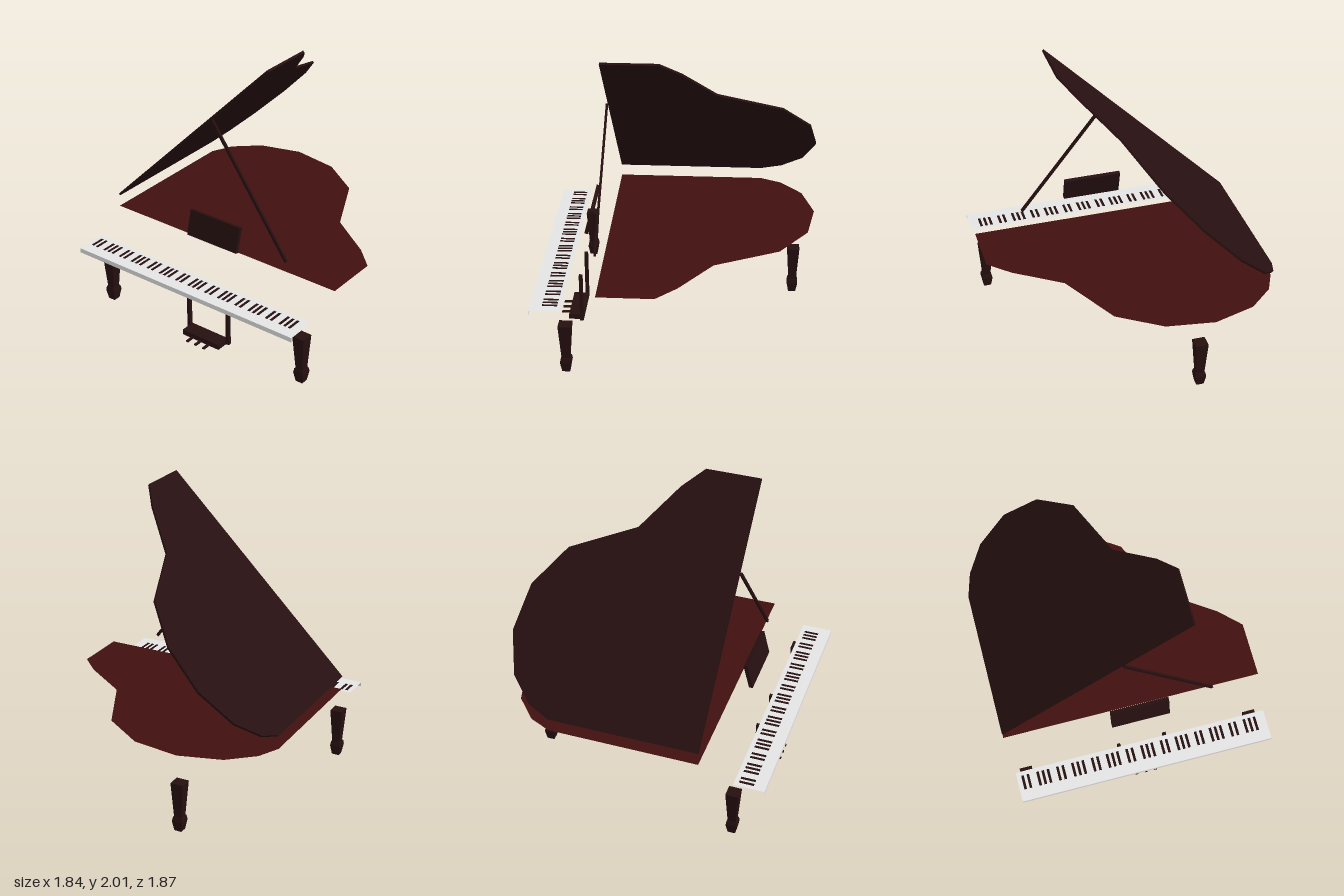
import * as THREE from 'three';

const ebony = new THREE.MeshStandardMaterial({ color: 0x260f10 });
ebony.name = 'dark wood';
const mahogany = new THREE.MeshStandardMaterial({ color: 0x401010, side: THREE.DoubleSide });
mahogany.name = 'red wood';
const ivory = new THREE.MeshStandardMaterial({ color: 0xe4e4e4, side: THREE.DoubleSide });
ivory.name = 'ivory';

// Curved grand outline as [x, z], seen from above
const OUTLINE = [
  [-0.92, 0.49], [0.915, 0.49], [0.915, 0.11], [0.77, -0.03], [0.45, -0.25], [0.23, -0.69],
  [-0.06, -0.885], [-0.39, -0.935], [-0.68, -0.85], [-0.85, -0.7], [-0.92, -0.55],
];

function outlineShape(dx) {
  return new THREE.Shape(OUTLINE.map(([x, z]) => new THREE.Vector2(x + dx, -z)));
}

function add(parent, name, geometry, material, x = 0, y = 0, z = 0) {
  const mesh = new THREE.Mesh(geometry, material);
  mesh.name = name;
  mesh.position.set(x, y, z);
  parent.add(mesh);
  return mesh;
}

function box(parent, name, material, x0, x1, y0, y1, z0, z1) {
  return add(parent, name, new THREE.BoxGeometry(x1 - x0, y1 - y0, z1 - z0), material,
    (x0 + x1) / 2, (y0 + y1) / 2, (z0 + z1) / 2);
}

// Square tapered block with flat sides; sizes are half widths
function taper(top, bottom, height) {
  const r = Math.SQRT2;
  const g = new THREE.CylinderGeometry(top * r, bottom * r, height, 4).rotateY(Math.PI / 4).toNonIndexed();
  g.computeVertexNormals();
  return g;
}

function makeLeg(x, z) {
  const leg = new THREE.Group();
  leg.name = 'leg';
  add(leg, 'legShaft', taper(0.044, 0.027, 0.25), ebony, 0, 0.225, 0);
  add(leg, 'legCollar', taper(0.033, 0.038, 0.03), ebony, 0, 0.085, 0);
  add(leg, 'legFoot', taper(0.038, 0.026, 0.07), ebony, 0, 0.035, 0);
  leg.position.set(x, 0, z);
  return leg;
}

export function createModel() {
  const piano = new THREE.Group();
  piano.name = 'grandPiano';

  // Soundboard sheet
  add(piano, 'soundboard', new THREE.ShapeGeometry(outlineShape(0)).rotateX(-Math.PI / 2), mahogany, 0, 0.615, 0);

  // Raised lid, hinged along the left side
  const lidGeometry = new THREE.ExtrudeGeometry(outlineShape(0.92), { depth: 0.015, bevelEnabled: false });
  lidGeometry.rotateX(-Math.PI / 2);
  const lid = add(piano, 'lid', lidGeometry, ebony, -0.912, 0.701, 0);
  lid.rotation.z = Math.PI / 4;

  // Prop stick
  const top = new THREE.Vector3(-0.065, 1.545, 0.495);
  const foot = new THREE.Vector3(0.56, 0.72, 0.53);
  const prop = add(piano, 'lidProp', new THREE.BoxGeometry(0.02, top.distanceTo(foot), 0.015), ebony);
  prop.position.copy(top).add(foot).multiplyScalar(0.5);
  prop.quaternion.setFromUnitVectors(new THREE.Vector3(0, 1, 0), top.clone().sub(foot).normalize());

  // Tilted music desk
  const desk = add(piano, 'musicDesk', new THREE.BoxGeometry(0.41, 0.177, 0.027), ebony, 0.025, 0.796, 0.602);
  desk.rotation.x = -0.25;

  // Keyboard: open top and front sheets
  add(piano, 'keyboardTop', new THREE.PlaneGeometry(1.79, 0.21).rotateX(-Math.PI / 2), ivory, 0, 0.488, 0.825);
  add(piano, 'keyboardFront', new THREE.PlaneGeometry(1.79, 0.033), ivory, 0, 0.4715, 0.93);

  // Black keys: groups of two and three in each octave
  const keys = new THREE.Group();
  keys.name = 'blackKeys';
  const keyGeometry = new THREE.BoxGeometry(0.018, 0.002, 0.1);
  for (let octave = 0; octave < 7; octave++) {
    for (const offset of [-0.019, 0.019, 0.088, 0.125, 0.162]) {
      add(keys, 'blackKey', keyGeometry, ebony, -0.835 + octave * 0.2485 + offset, 0.489, 0.8);
    }
  }
  piano.add(keys);

  // Two front legs and one back leg
  for (const [x, z] of [[-0.818, 0.705], [0.815, 0.705], [-0.338, -0.795]]) piano.add(makeLeg(x, z));

  // Pedal lyre
  const lyre = new THREE.Group();
  lyre.name = 'pedalLyre';
  box(lyre, 'lyrePost', ebony, -0.155, -0.131, 0.008, 0.365, 0.665, 0.69);
  box(lyre, 'lyrePost', ebony, 0.178, 0.202, 0.008, 0.365, 0.665, 0.69);
  box(lyre, 'lyreCrossbar', ebony, -0.131, 0.178, 0.008, 0.042, 0.665, 0.69);
  box(lyre, 'pedalBox', ebony, -0.131, 0.178, 0.005, 0.042, 0.69, 0.77);
  for (const x of [-0.045, 0.025, 0.095]) {
    box(lyre, 'pedal', ebony, x - 0.01, x + 0.01, 0.01, 0.018, 0.765, 0.83);
  }
  piano.add(lyre);

  return piano;
}
